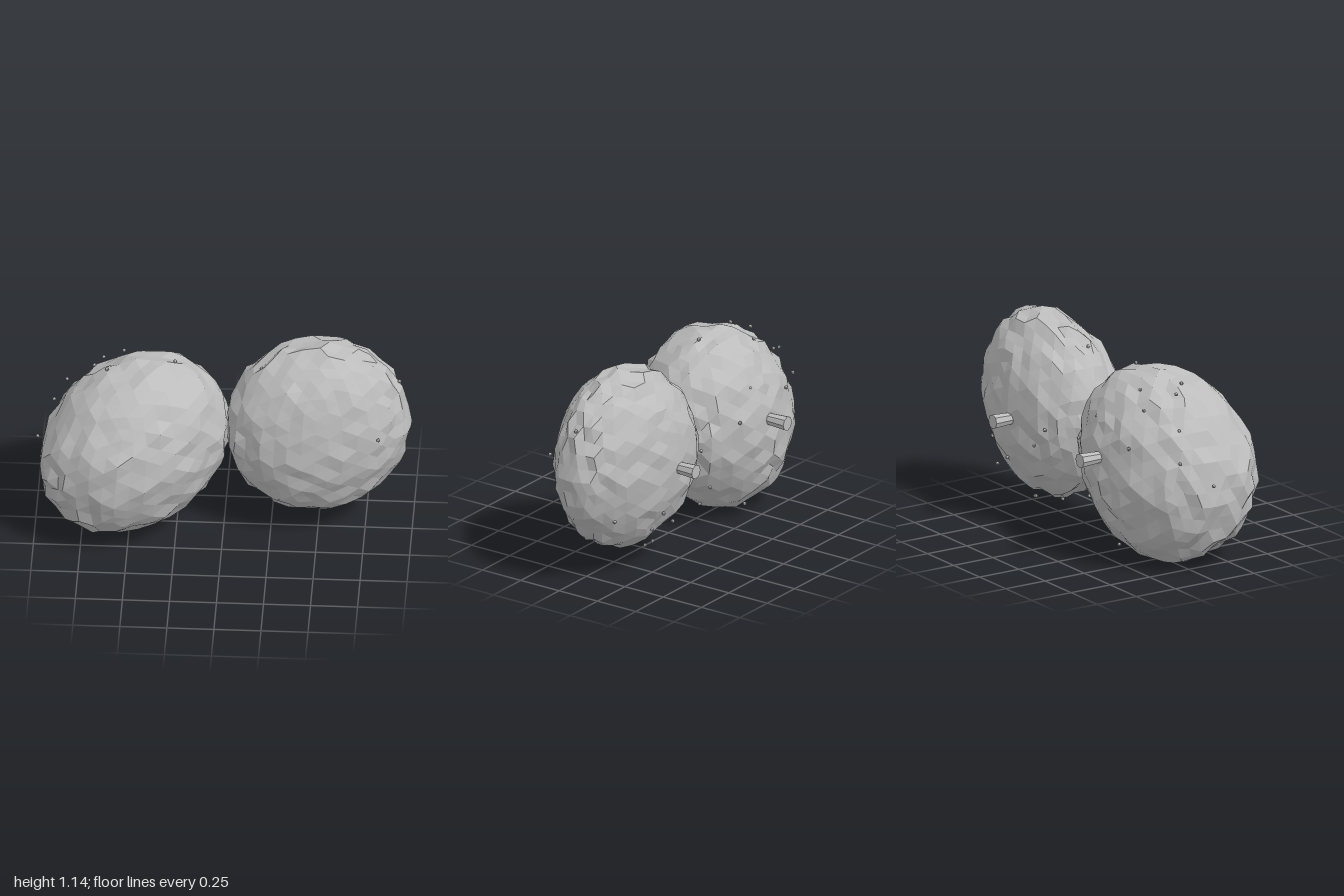
import * as THREE from 'three';
import { mergeVertices } from 'three/addons/utils/BufferGeometryUtils.js';

function seeded(seed) {
  return () => {
    seed = (seed * 16807) % 2147483647;
    return seed / 2147483647;
  };
}

// Faceted lump: a unit icosphere bent by a rule, with small bumps
function lumpGeometry(seed, shape) {
  const rand = seeded(seed);
  let geo = new THREE.IcosahedronGeometry(1, 6);
  geo.deleteAttribute('normal');
  geo.deleteAttribute('uv');
  geo = mergeVertices(geo, 1e-3);
  const pos = geo.attributes.position;
  const p = new THREE.Vector3();
  for (let i = 0; i < pos.count; i++) {
    p.fromBufferAttribute(pos, i);
    const bump = 0.99 + (rand() - 0.5) * 0.066;
    const [x, y, z] = shape(p.x, p.y, p.z);
    pos.setXYZ(i, x * bump, y * bump, z * bump);
  }
  geo = geo.toNonIndexed();
  geo.computeVertexNormals();
  return geo;
}

export function createModel() {
  const model = new THREE.Group();
  const grey = new THREE.MeshStandardMaterial({ color: 0xbcbcbc, flatShading: true });
  grey.name = 'grey';

  const add = (name, geometry, x, y, z) => {
    const mesh = new THREE.Mesh(geometry, grey);
    mesh.name = name;
    mesh.position.set(x, y, z);
    model.add(mesh);
    return mesh;
  };

  // Right body: flatter back, front bulging forward and outward
  add('rightBody', lumpGeometry(71, (x, y, z) => [
    0.5 * x + 0.04 * y - (z > 0 ? 0.085 : 0.025) * z,
    0.04 * x + 0.515 * y,
    (z > 0 ? 0.47 : 0.37) * z - 0.015 * x,
  ]), -0.468, 0.525, 0);
  // Left body: lens shape, thinner toward its outer end
  add('leftBody', lumpGeometry(523, (x, y, z) => [
    0.495 * x + 0.015 * y,
    0.015 * x + 0.507 * y,
    0.315 * z * (1 - 0.13 * x) - 0.01 * y,
  ]), 0.495, 0.63, -0.055);

  // Flared stems on the back
  for (const [name, x] of [['rightStem', -0.42], ['leftStem', 0.415]]) {
    const stem = add(name, new THREE.CylinderGeometry(0.04, 0.031, 0.155, 8), x, 0.605, -0.398);
    stem.rotation.x = -Math.PI / 2;
  }

  // Tiny beads scattered over the surfaces
  const rightBeads = [
    [-0.99, 0.53, 0], [-0.69, 0.97, -0.04], [-0.62, 1.0, 0.04], [-0.26, 1.03, -0.01],
    [-0.54, 0.98, -0.17], [-0.65, 0.9, -0.22], [-0.84, 0.82, -0.12], [-0.91, 0.66, -0.16],
    [-0.64, 0.7, -0.31], [-0.32, 0.8, -0.3], [-0.19, 0.65, -0.33], [-0.1, 0.28, -0.2],
    [-0.24, 0.1, -0.03], [-0.4, 0.09, -0.21],
  ];
  const leftBeads = [
    [0.2, 1.0, -0.01], [0.83, 0.69, 0.18], [0.93, 0.91, -0.06], [0.06, 0.6, -0.18],
    [0.11, 0.83, -0.18], [0.15, 0.6, -0.32], [0.22, 0.5, -0.34], [0.93, 0.54, -0.145],
    [0.8, 0.385, -0.22], [0.5, 0.36, -0.325], [0.6, 0.3, -0.32], [0.46, 0.13, -0.175],
    [0.42, 0.145, -0.195], [0.2, 0.18, -0.17],
  ];
  const beadGeometry = new THREE.SphereGeometry(0.01, 8, 6);
  for (const p of rightBeads) add('rightBead', beadGeometry, ...p);
  for (const p of leftBeads) add('leftBead', beadGeometry, ...p);

  return model;
}
